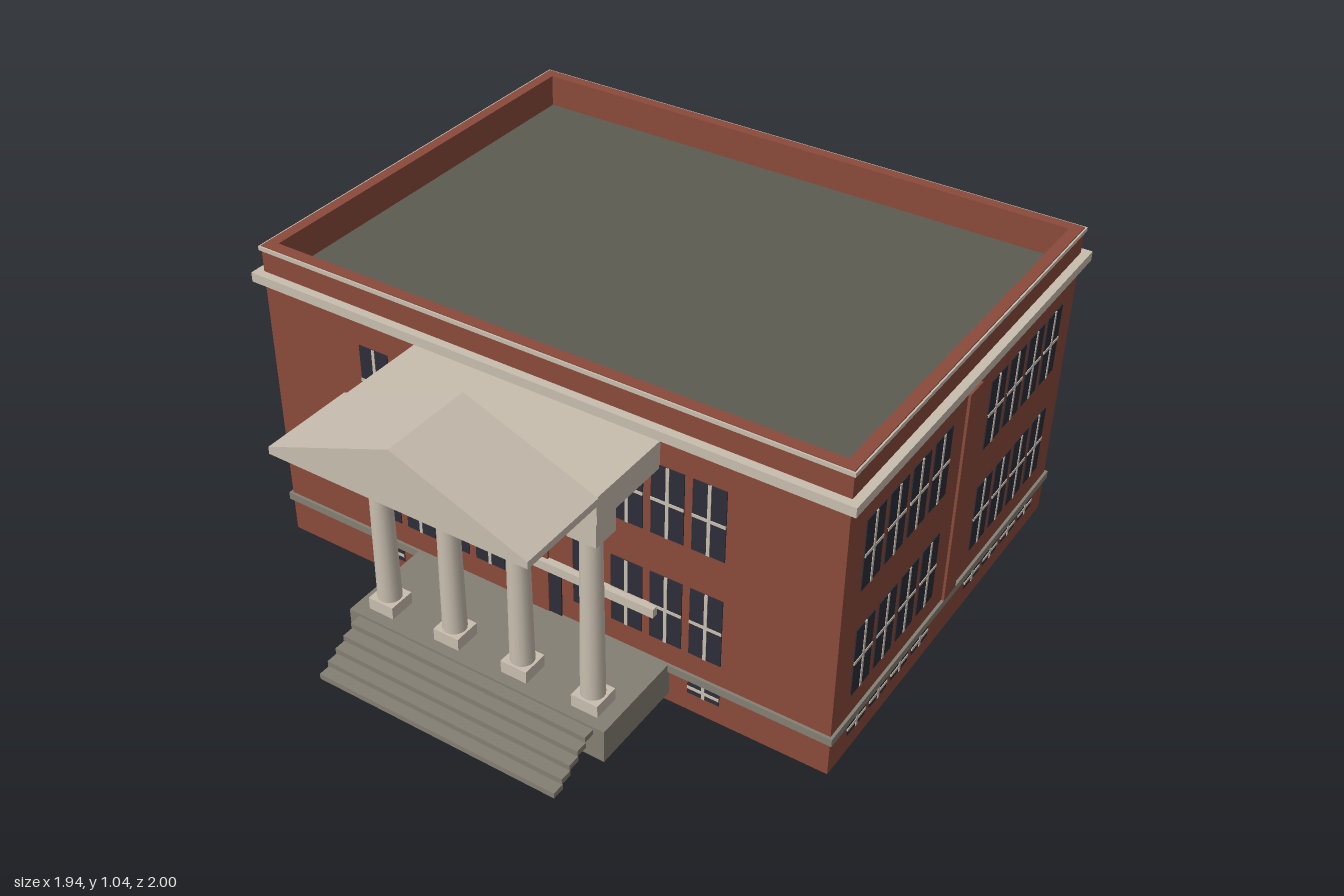
import * as THREE from 'three';

const mat = (name, color, side = THREE.FrontSide) => {
  const m = new THREE.MeshStandardMaterial({ color, side });
  m.name = name;
  return m;
};

export function createModel() {
  const brick = mat('brick', 0x8a4a3a, THREE.DoubleSide);
  const stone = mat('paleStone', 0xc8beaf);
  const greyStone = mat('greyStone', 0x857f73, THREE.DoubleSide);
  const roofing = mat('roofing', 0x5c5b52, THREE.DoubleSide);
  const glass = mat('glass', 0x2c2d38);

  const model = new THREE.Group();
  model.name = 'building';
  const HX = 0.945, ZF = 0.425, ZB = -0.97;
  const ZC = (ZF + ZB) / 2, HZ = (ZF - ZB) / 2;

  function add(parent, name, geo, material, x = 0, y = 0, z = 0) {
    const m = new THREE.Mesh(geo, material);
    m.name = name;
    m.position.set(x, y, z);
    parent.add(m);
    return m;
  }
  // Box given by its limits
  const block = (parent, name, material, x0, x1, y0, y1, z0, z1) =>
    add(parent, name, new THREE.BoxGeometry(x1 - x0, y1 - y0, z1 - z0), material,
      (x0 + x1) / 2, (y0 + y1) / 2, (z0 + z1) / 2);
  // Box that keeps only some faces (order: +x, -x, +y, -y, +z, -z)
  function shell(w, h, d, faces) {
    const g = new THREE.BoxGeometry(w, h, d);
    const all = Array.from(g.index.array);
    g.setIndex(faces.flatMap(f => all.slice(f * 6, f * 6 + 6)));
    g.clearGroups();
    return g;
  }
  // Rectangular frame around the building; offsets are measured from the wall face
  function ring(name, material, out, inn, y0, y1) {
    const rect = (T, o) => {
      const a = HX + o, b = HZ + o;
      return new T([[-a, -b], [a, -b], [a, b], [-a, b]].map(p => new THREE.Vector2(...p)));
    };
    const s = rect(THREE.Shape, out);
    s.holes.push(rect(THREE.Path, inn));
    const g = new THREE.ExtrudeGeometry(s, { depth: y1 - y0, bevelEnabled: false });
    g.rotateX(-Math.PI / 2);
    return add(model, name, g, material, 0, y0, ZC);
  }

  // Hollow walls, parapet and sunken roof
  add(model, 'walls', shell(HX * 2, 1.0, HZ * 2, [0, 1, 4, 5]), brick, 0, 0.5, ZC);
  ring('parapet', brick, 0, -0.035, 0.915, 1.02);
  ring('parapetTrim', stone, 0.006, 0.001, 1.005, 1.018);
  ring('cornice', stone, 0.026, 0, 0.905, 0.935);
  ring('waterTable', greyStone, 0.009, 0, 0.115, 0.14);
  const roof = new THREE.PlaneGeometry(HX * 2 - 0.01, HZ * 2 - 0.01);
  add(model, 'roof', roof.rotateX(-Math.PI / 2), roofing, 0, 0.917, ZC);

  // Window: a dark pane with a cross of glazing bars
  function windowUnit(parent, x, y0, y1, barY) {
    block(parent, 'windowPane', glass, x - 0.051, x + 0.051, y0, y1, 0.001, 0.004);
    block(parent, 'verticalBar', stone, x - 0.005, x + 0.005, y0, y1, 0.002, 0.006);
    block(parent, 'horizontalBar', stone, x - 0.051, x + 0.051, barY - 0.005, barY + 0.005, 0.002, 0.006);
  }

  // Each wall carries two window groups and a centre pilaster
  const sides = [
    ['frontWall', 0, 0, ZF], ['backWall', Math.PI, 0, ZB],
    ['leftWall', Math.PI / 2, HX, ZC], ['rightWall', -Math.PI / 2, -HX, ZC],
  ];
  for (const [name, turn, x, z] of sides) {
    const wall = new THREE.Group();
    wall.name = name;
    wall.position.set(x, 0, z);
    wall.rotation.y = turn;
    model.add(wall);
    for (const s of [-1, 1]) {
      for (let i = 0; i < 4; i++) {
        const wx = s * 0.3625 + (i - 1.5) * 0.127;
        windowUnit(wall, wx, 0.58, 0.81, 0.695);
        windowUnit(wall, wx, 0.215, 0.445, 0.33);
        if (name !== 'frontWall' || Math.abs(wx) > 0.45) windowUnit(wall, wx, 0.068, 0.115, 0.09);
      }
    }
    block(wall, 'pilaster', brick, -0.038, 0.038, 0.14, 0.86, 0.001, 0.009);
  }

  // Entrance: dark door and a long stone lintel
  block(model, 'door', glass, -0.08, 0.08, 0.14, 0.305, ZF + 0.001, ZF + 0.006);
  block(model, 'lintel', stone, -0.4, 0.4, 0.303, 0.333, ZF + 0.001, 0.45);

  // Open-bottomed porch platform and thin floating steps
  add(model, 'porchPlatform', shell(0.88, 0.11, 0.335, [0, 1, 2, 4, 5]), greyStone, 0, 0.085, 0.5775);
  for (let i = 0; i < 5; i++) {
    const z = 0.742 + i * 0.036, y = 0.132 - i * 0.021;
    block(model, 'step', greyStone, -0.405, 0.405, y - 0.018, y, z, z + 0.04);
  }

  // Four columns with square bases and capitals
  for (const x of [-0.352, -0.117, 0.117, 0.352]) {
    const column = new THREE.Group();
    column.name = 'column';
    column.position.set(x, 0, 0.667);
    model.add(column);
    block(column, 'base', stone, -0.043, 0.043, 0.14, 0.18, -0.043, 0.043);
    add(column, 'shaft', new THREE.CylinderGeometry(0.031, 0.036, 0.55, 16), stone, 0, 0.453, 0);
    block(column, 'capital', stone, -0.045, 0.045, 0.725, 0.802, -0.045, 0.043);
  }

  // Flat porch roof with the gabled pediment in front of it
  block(model, 'porchRoof', stone, -0.4, 0.4, 0.8, 0.885, ZF, 0.71);
  const gable = new THREE.Shape([[-0.405, 0.865], [0.405, 0.865], [0.405, 0.887], [0, 1.045], [-0.405, 0.887]]
    .map(p => new THREE.Vector2(...p)));
  add(model, 'pediment', new THREE.ExtrudeGeometry(gable, { depth: 0.29, bevelEnabled: false }), stone, 0, 0, 0.71);

  return model;
}
